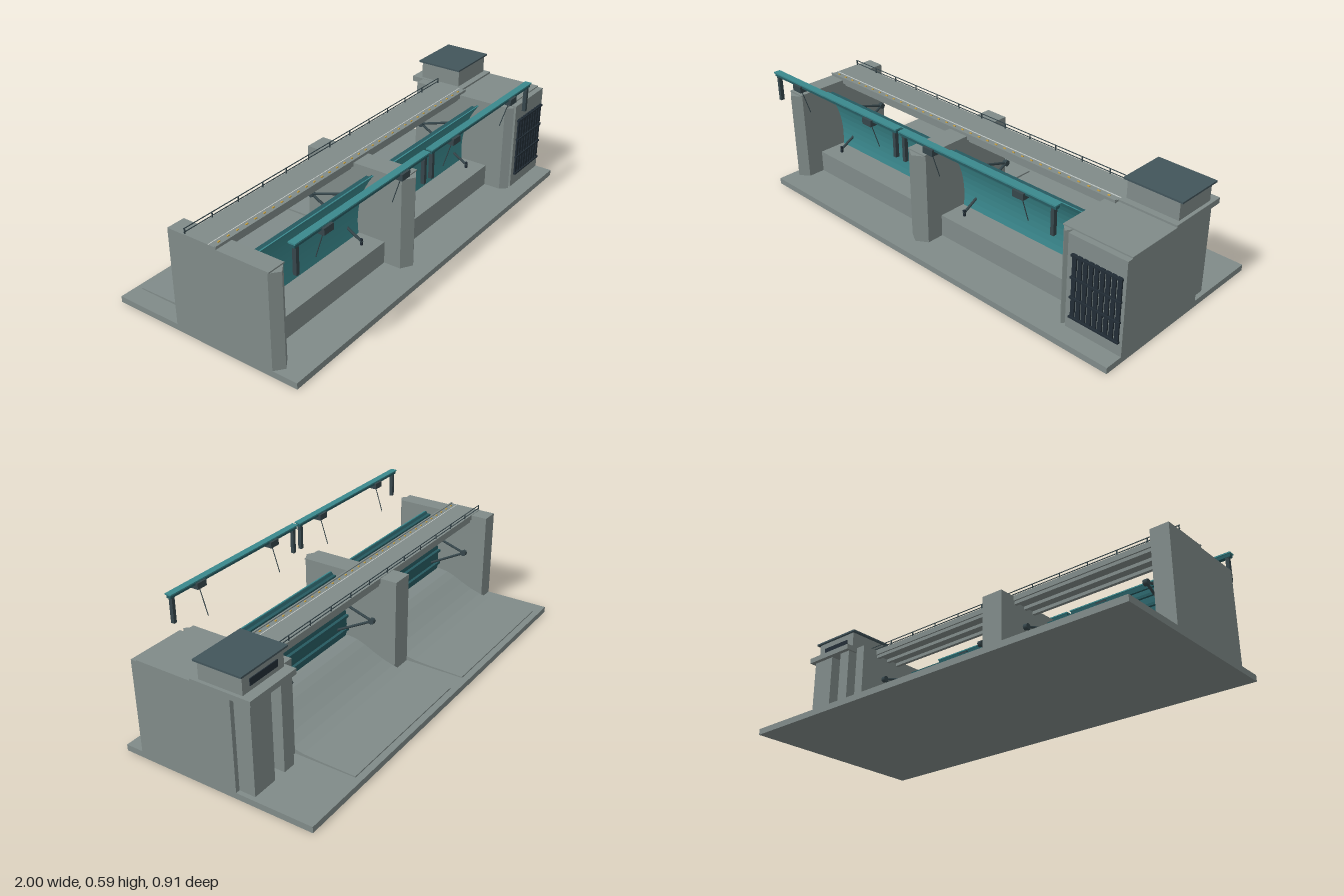
import * as THREE from 'three';

const mat = (name, color) => {
  const m = new THREE.MeshStandardMaterial({ color });
  m.name = name;
  return m;
};

export function createModel() {
  const concrete = mat('concrete', 0x808b89);
  const slate = mat('slate roof', 0x42555b);
  const teal = mat('teal gate paint', 0x3a888d);
  const darkTeal = mat('dark teal steel', 0x265a60);
  const steel = mat('dark steel', 0x36464b);
  const navy = mat('dark rack', 0x222d36);
  const pale = mat('pale line', 0xc4cbc8);
  const yellow = mat('yellow marker', 0xc9a243);

  const model = new THREE.Group();
  model.name = 'dam';
  const add = (name, geo, m, parent = model) => {
    const mesh = new THREE.Mesh(geo, m);
    mesh.name = name;
    parent.add(mesh);
    return mesh;
  };
  // Box given by its limits on each axis
  const box = (name, m, x0, x1, y0, y1, z0, z1, parent) => {
    const g = new THREE.BoxGeometry(x1 - x0, y1 - y0, z1 - z0);
    g.translate((x0 + x1) / 2, (y0 + y1) / 2, (z0 + z1) / 2);
    return add(name, g, m, parent);
  };
  // Side profile of [z, y] points, extruded from x0 to x1
  const sideExtrude = (name, m, pts, x0, x1, parent) => {
    const shape = new THREE.Shape(pts.map(([z, y]) => new THREE.Vector2(-z, y)));
    const g = new THREE.ExtrudeGeometry(shape, { depth: x1 - x0, bevelEnabled: false });
    g.rotateY(Math.PI / 2).translate(x0, 0, 0);
    return add(name, g, m, parent);
  };
  // Plan outline of [x, z] points, extruded from y0 to y1
  const planExtrude = (name, m, pts, y0, y1, parent) => {
    const shape = new THREE.Shape(pts.map(([x, z]) => new THREE.Vector2(x, -z)));
    const g = new THREE.ExtrudeGeometry(shape, { depth: y1 - y0, bevelEnabled: false });
    g.rotateX(-Math.PI / 2).translate(0, y0, 0);
    return add(name, g, m, parent);
  };
  // Round bar between two points
  const bar = (name, m, a, b, r, parent) => {
    const p = new THREE.Vector3(...a), q = new THREE.Vector3(...b);
    const mesh = add(name, new THREE.CylinderGeometry(r, r, p.distanceTo(q), 8), m, parent);
    mesh.position.copy(p).lerp(q, 0.5);
    mesh.quaternion.setFromUnitVectors(new THREE.Vector3(0, 1, 0), q.sub(p).normalize());
    return mesh;
  };

  box('baseSlab', concrete, -1, 1, 0, 0.028, -0.455, 0.455);

  // Piers with pointed noses
  for (const [x0, x1, tip] of [[-1, -0.915, -0.96], [-0.175, -0.07, -0.122], [0.68, 0.73, 0.71]]) {
    const pier = new THREE.Group();
    pier.name = 'pier';
    model.add(pier);
    planExtrude('pierBody', concrete,
      [[x0, -0.14], [x0, 0.34], [tip, 0.372], [x1, 0.34], [x1, -0.14]], 0.028, 0.45, pier);
    box('pierCap', concrete, x0, x1, 0.45, 0.456, 0.1, 0.345, pier);
    box('pierRearTop', concrete, x0, x1, 0.45, 0.463, -0.14, -0.06, pier);
  }

  // Curved gate skin: the arc is nearly upright at the sill and leans forward at the top
  const R = 0.4, cz = 0.52, cy = 0.19;
  const arc = (y, off) => cz - Math.sqrt((R + off) ** 2 - (y - cy) ** 2);
  const skin = (off0, off1) => {
    const ys = Array.from({ length: 11 }, (_, i) => 0.13 + 0.03 * i);
    return [...ys.map(y => [arc(y, off0), y]), ...ys.reverse().map(y => [arc(y, off1), y])];
  };

  for (const [x0, x1] of [[-0.915, -0.175], [-0.07, 0.68]]) {
    const bay = new THREE.Group();
    bay.name = 'spillwayBay';
    model.add(bay);
    // Sill, curved chute and apron
    sideExtrude('spillway', concrete, [
      [0.26, 0.028], [0.26, 0.13], [0.1, 0.13], [0.06, 0.125], [0.02, 0.11], [-0.03, 0.086],
      [-0.08, 0.065], [-0.13, 0.05], [-0.18, 0.041], [-0.26, 0.037], [-0.425, 0.034], [-0.425, 0.028],
    ], x0, x1, bay);
    sideExtrude('gateSkin', teal, skin(-0.004, 0.001), x0 + 0.004, x1 - 0.004, bay);
    sideExtrude('gateBack', darkTeal, skin(0.001, 0.005), x0 + 0.004, x1 - 0.004, bay);
    for (const y of [0.17, 0.235, 0.3, 0.36, 0.415]) {
      const z = arc(y, 0.005);
      box('gateRib', darkTeal, x0 + 0.006, x1 - 0.006, y - 0.006, y + 0.006, z - 0.014, z + 0.002, bay);
    }
    // Radial arms meeting at a trunnion
    for (const x of [x0 + 0.075, x1 - 0.075]) {
      bar('gateArm', steel, [x, 0.29, -0.065], [x, 0.145, 0.2], 0.006, bay);
      bar('gateArm', steel, [x, 0.29, -0.065], [x, 0.36, arc(0.36, 0)], 0.006, bay);
      bar('trunnion', steel, [x - 0.01, 0.29, -0.065], [x + 0.01, 0.29, -0.065], 0.014, bay);
      box('gateLug', navy, x - 0.005, x + 0.005, 0.13, 0.16, 0.19, 0.2, bay);
    }
  }

  // Service bridge
  box('bridgeDeck', concrete, -1, 0.73, 0.44, 0.465, -0.06, 0.1);
  for (const z of [-0.045, 0.02, 0.08]) box('bridgeGirder', concrete, -0.95, 0.72, 0.425, 0.44, z - 0.008, z + 0.008);
  box('frontCurb', concrete, -1, 0.73, 0.465, 0.47, 0.094, 0.102);
  box('deckLine', pale, -1, 0.73, 0.465, 0.467, 0.063, 0.067);
  for (let i = 0; i < 34; i++) {
    const x = -0.97 + i * 0.05;
    box('deckMarker', yellow, x, x + 0.012, 0.465, 0.469, 0.08, 0.085);
  }
  for (const y of [0.473, 0.488]) box('handrail', steel, -1, 0.73, y - 0.0015, y + 0.0015, -0.0565, -0.0535);
  for (let i = 0; i < 13; i++) {
    const x = -0.995 + i * 0.1435;
    box('railPost', steel, x - 0.002, x + 0.002, 0.465, 0.488, -0.057, -0.053);
  }

  // Intake block with rear buttresses and platform
  box('intakeBlock', concrete, 0.73, 1, 0.028, 0.45, -0.105, 0.372);
  box('intakeCap', concrete, 0.73, 1, 0.45, 0.456, 0.08, 0.345);
  box('rearButtress', concrete, 0.86, 0.98, 0.028, 0.44, -0.18, -0.105);
  box('rearButtress', concrete, 0.74, 0.8, 0.028, 0.44, -0.18, -0.105);
  box('platform', concrete, 0.73, 1, 0.44, 0.465, -0.2, 0.08);

  // Trash rack
  for (let i = 0; i < 9; i++) {
    const x = 0.757 + i * 0.0262;
    box('rackBar', navy, x, x + 0.0185, 0.085, 0.375, 0.372, 0.379);
  }
  for (const y of [0.09, 0.18, 0.27, 0.368]) box('rackCrossbar', navy, 0.752, 0.988, y - 0.004, y + 0.004, 0.372, 0.384);

  // Control house
  box('houseWalls', concrete, 0.745, 0.985, 0.465, 0.546, -0.155, 0.05);
  box('houseRoof', slate, 0.73, 1, 0.546, 0.554, -0.166, 0.058);
  box('houseWindow', navy, 0.785, 0.945, 0.487, 0.517, -0.159, -0.155);

  // Hoist gantries
  for (const x0 of [-0.97, -0.115]) {
    const x1 = x0 + 0.838;
    const gantry = new THREE.Group();
    gantry.name = 'hoistGantry';
    model.add(gantry);
    box('gantryBeam', teal, x0, x1, 0.584, 0.59, 0.41, 0.442, gantry);
    box('gantryWeb', darkTeal, x0 + 0.003, x1 - 0.003, 0.57, 0.584, 0.416, 0.437, gantry);
    for (const x of [x0 + 0.02, x1 - 0.02]) box('gantryPost', steel, x - 0.008, x + 0.008, 0.455, 0.575, 0.418, 0.435, gantry);
    for (const x of [x0 + 0.178, x0 + 0.66]) {
      box('hoist', steel, x - 0.027, x + 0.027, 0.55, 0.578, 0.406, 0.448, gantry);
      bar('hoistCable', steel, [x, 0.55, 0.425], [x, 0.428, 0.386], 0.002, gantry);
    }
  }
  return model;
}
